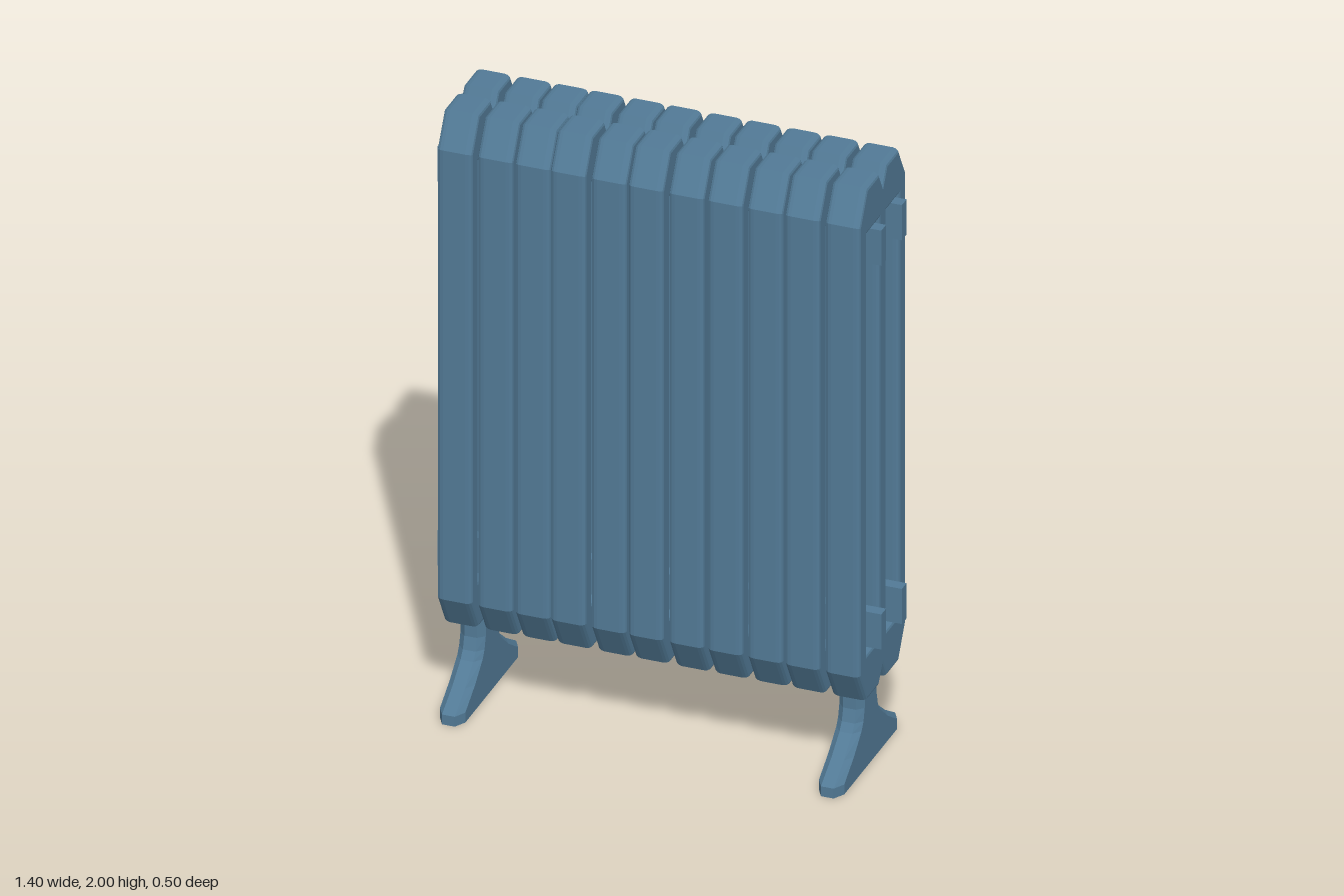
import * as THREE from 'three';

const paint = new THREE.MeshStandardMaterial({ color: 0x527a96 });
paint.name = 'blue grey paint';

// One column section: a chamfered double loop with two tall windows.
function sectionGeometry(width) {
  const shape = new THREE.Shape();
  const top = [[0.19, 1.893], [0.13, 2], [0.028, 2], [0, 1.945], [-0.028, 2], [-0.13, 2], [-0.19, 1.893]];
  const bottom = top.map(([z, y]) => [-z, 2.278 - y]);
  shape.setFromPoints([...top, ...bottom].map(([z, y]) => new THREE.Vector2(z, y)));
  for (const s of [-1, 1]) {
    const hole = new THREE.Path();
    hole.setFromPoints([[0.033, 0.437], [0.127, 0.437], [0.127, 1.843], [0.033, 1.843]]
      .map(([z, y]) => new THREE.Vector2(s * z, y)));
    shape.holes.push(hole);
  }
  const bevel = 0.02;
  const geo = new THREE.ExtrudeGeometry(shape, {
    depth: width - 2 * bevel, bevelThickness: bevel,
    bevelSize: 0.012, bevelOffset: -0.012, bevelSegments: 3,
  });
  geo.translate(0, 0, bevel - width / 2);
  geo.rotateY(Math.PI / 2);
  return geo;
}

// Flared foot: chamfered rectangular rings stacked upwards.
function footGeometry() {
  const rows = [ // height, half depth, chamfer depth
    [0, 0.248, 0.035], [0.033, 0.248, 0.035], [0.085, 0.165, 0.03], [0.14, 0.098, 0.025],
    [0.165, 0.08, 0.022], [0.205, 0.068, 0.02], [0.36, 0.068, 0.02],
  ];
  const positions = [];
  const index = [];
  for (const [y, d, c] of rows) {
    const ring = [[0.02, d], [0.04, d - c], [0.04, c - d], [0.02, -d],
      [-0.02, -d], [-0.04, c - d], [-0.04, d - c], [-0.02, d]];
    for (const [x, z] of ring) positions.push(x, y, z);
  }
  for (let r = 0; r < rows.length - 1; r++) {
    for (let i = 0; i < 8; i++) {
      const a = r * 8 + i, b = r * 8 + (i + 1) % 8;
      index.push(a, b, b + 8, a, b + 8, a + 8);
    }
  }
  const last = (rows.length - 1) * 8;
  for (let i = 1; i < 7; i++) {
    index.push(0, i + 1, i);
    index.push(last, last + i, last + i + 1);
  }
  const geo = new THREE.BufferGeometry();
  geo.setAttribute('position', new THREE.Float32BufferAttribute(positions, 3));
  geo.setIndex(index);
  const flat = geo.toNonIndexed();
  flat.computeVertexNormals();
  return flat;
}

export function createModel() {
  const model = new THREE.Group();
  model.name = 'radiator';
  const add = (geometry, name, x, y, z) => {
    const mesh = new THREE.Mesh(geometry, paint);
    mesh.name = name;
    mesh.position.set(x, y, z);
    model.add(mesh);
  };

  // Eleven sections, slightly unevenly spaced
  const section = sectionGeometry(0.11);
  const centres = [-0.613, -0.485, -0.367, -0.255, -0.127, -0.01, 0.118, 0.24, 0.366, 0.484, 0.611];
  centres.forEach((x, i) => add(section, `section${i + 1}`, x, 0, 0));

  // Connecting bars through the windows
  const bar = new THREE.BoxGeometry(1.4, 0.118, 0.038);
  for (const [y, row] of [[1.791, 'upper'], [0.502, 'lower']]) {
    add(bar, `${row}FrontBar`, 0, y, 0.082);
    add(bar, `${row}BackBar`, 0, y, -0.084);
  }

  // Feet under the end sections
  const foot = footGeometry();
  add(foot, 'rightFoot', -0.608, 0, 0);
  add(foot, 'leftFoot', 0.587, 0, 0);
  return model;
}
